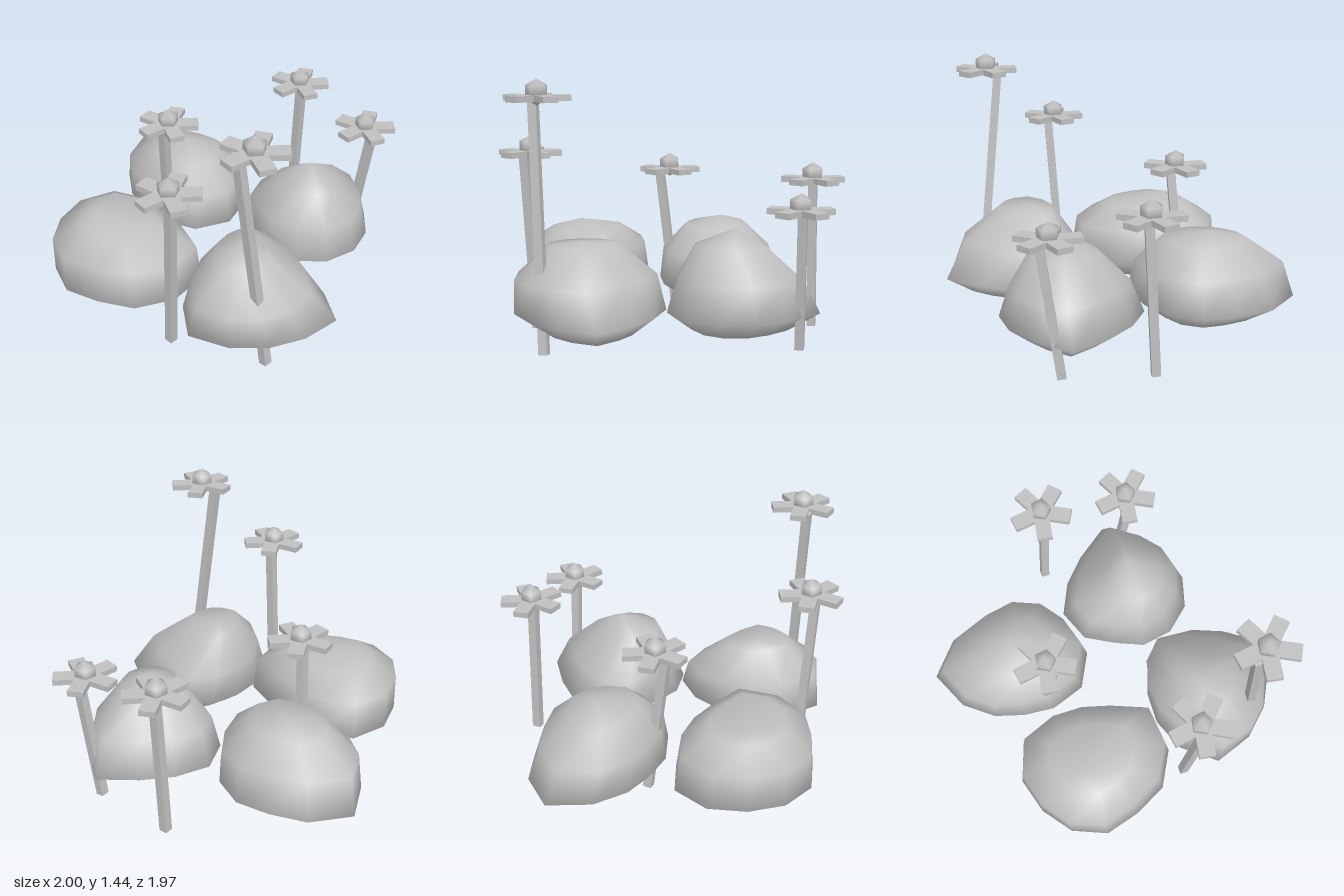
import * as THREE from 'three';

const grey = new THREE.MeshStandardMaterial({ color: 0xc0c0c0 });
grey.name = 'stone grey';

// Rocks: radii every 30 degrees from +x towards +z, beginning at the angle
// "start", give the widest outline. Shoulder and crown rings repeat it as
// [y, scaleX, scaleZ, shiftX, shiftZ].
const ROCKS = [
  {
    name: 'backRock', centre: [-0.24, -0.56], peak: [-0.23, 0.567, -0.57], start: 24,
    radii: [0.385, 0.435, 0.425, 0.365, 0.33, 0.355, 0.415, 0.5, 0.43, 0.37, 0.38, 0.38],
    shoulder: [0.38, 0.95, 0.87, -0.005, 0.02], crown: [0.52, 0.54, 0.5, 0, 0.03],
  },
  {
    name: 'rightRock', centre: [-0.6, 0.15], peak: [-0.76, 0.53, 0.13], start: 21,
    radii: [0.47, 0.46, 0.43, 0.385, 0.41, 0.405, 0.4, 0.43, 0.44, 0.37, 0.335, 0.35],
    shoulder: [0.4, 0.97, 0.93, -0.012, 0], crown: [0.5, 0.56, 0.55, -0.02, 0],
  },
  {
    name: 'leftRock', centre: [0.47, -0.17], peak: [0.49, 0.637, -0.17], start: 15,
    radii: [0.375, 0.38, 0.38, 0.37, 0.353, 0.328, 0.383, 0.41, 0.375, 0.385, 0.48, 0.39],
    shoulder: [0.37, 0.88, 0.79, 0, 0.01], crown: [0.55, 0.47, 0.46, 0, 0.05],
  },
  {
    name: 'frontRock', centre: [0.15, 0.52], peak: [0.04, 0.56, 0.52], start: 24,
    radii: [0.455, 0.4, 0.39, 0.42, 0.48, 0.42, 0.37, 0.346, 0.364, 0.4, 0.365, 0.375],
    shoulder: [0.375, 0.78, 0.98, -0.045, 0], crown: [0.55, 0.36, 0.48, -0.09, 0],
  },
];

function makeRock({ name, centre: [cx, cz], peak, start, radii, shoulder, crown }) {
  const n = radii.length;
  const rings = [[0.085, 0.65, 0.62, 0, 0], [0.19, 1, 1, 0, 0], shoulder, crown];
  const positions = [cx, 0.06, cz];
  for (const [y, sx, sz, dx, dz] of rings) {
    radii.forEach((r, i) => {
      const angle = THREE.MathUtils.degToRad(start + (i * 360) / n);
      positions.push(cx + dx + r * sx * Math.cos(angle), y, cz + dz + r * sz * Math.sin(angle));
    });
  }
  positions.push(...peak);

  // Close the underside, join the rings, close the top
  const apex = 1 + n * rings.length;
  const index = [];
  for (let i = 0; i < n; i++) {
    const j = (i + 1) % n;
    index.push(0, 1 + i, 1 + j);
    for (let a = 1; a < apex - n; a += n) {
      const b = a + n;
      index.push(a + i, b + i, a + j, a + j, b + i, b + j);
    }
    index.push(apex - n + i, apex, apex - n + j);
  }
  const geometry = new THREE.BufferGeometry();
  geometry.setAttribute('position', new THREE.Float32BufferAttribute(positions, 3));
  geometry.setIndex(index);
  geometry.computeVertexNormals();
  const rock = new THREE.Mesh(geometry, grey);
  rock.name = name;
  return rock;
}

// Flowers: head centre, stem foot [x, z] and stem tip [x, z]
const FLOWERS = [
  { head: [0.463, 0.857, -0.72], foot: [0.443, -0.745], tip: [0.473, -0.71] },
  { head: [0.824, 0.757, -0.355], foot: [0.78, -0.395], tip: [0.87, -0.33] },
  { head: [-0.34, 0.857, -0.265], foot: [-0.355, -0.32], tip: [-0.365, -0.21] },
  { head: [-0.32, 1.013, 0.66], foot: [-0.335, 0.625], tip: [-0.31, 0.7] },
  { head: [0.102, 1.346, 0.805], foot: [0.177, 0.822], tip: [0.02, 0.79] },
];

const petalGeometry = new THREE.BoxGeometry(0.174, 0.032, 0.088).translate(0.087, 0, 0);
const centreGeometry = new THREE.SphereGeometry(0.069, 5, 3).rotateY(-Math.PI / 2);

function makeFlower({ head, foot, tip }) {
  const flower = new THREE.Group();
  flower.name = 'flower';

  // Leaning four-sided stem
  const start = new THREE.Vector3(foot[0], 0.005, foot[1]);
  const end = new THREE.Vector3(tip[0], head[1], tip[1]);
  const axis = end.clone().sub(start);
  const stemGeometry = new THREE.CylinderGeometry(0.034, 0.034, axis.length(), 4).toNonIndexed();
  stemGeometry.computeVertexNormals();
  const stem = new THREE.Mesh(stemGeometry, grey);
  stem.name = 'stem';
  stem.position.copy(start).add(end).multiplyScalar(0.5);
  stem.quaternion.setFromUnitVectors(new THREE.Vector3(0, 1, 0), axis.normalize());
  flower.add(stem);

  // Five flat petals around a rounded centre
  const blossom = new THREE.Group();
  blossom.name = 'blossom';
  blossom.position.set(...head);
  for (let i = 0; i < 5; i++) {
    const petal = new THREE.Mesh(petalGeometry, grey);
    petal.name = 'petal';
    petal.rotation.y = (i * Math.PI * 2) / 5;
    blossom.add(petal);
  }
  const centre = new THREE.Mesh(centreGeometry, grey);
  centre.name = 'flowerCentre';
  centre.position.y = 0.03;
  blossom.add(centre);
  flower.add(blossom);
  return flower;
}

export function createModel() {
  const model = new THREE.Group();
  model.name = 'rocksWithFlowers';
  for (const rock of ROCKS) model.add(makeRock(rock));
  for (const flower of FLOWERS) model.add(makeFlower(flower));
  return model;
}
